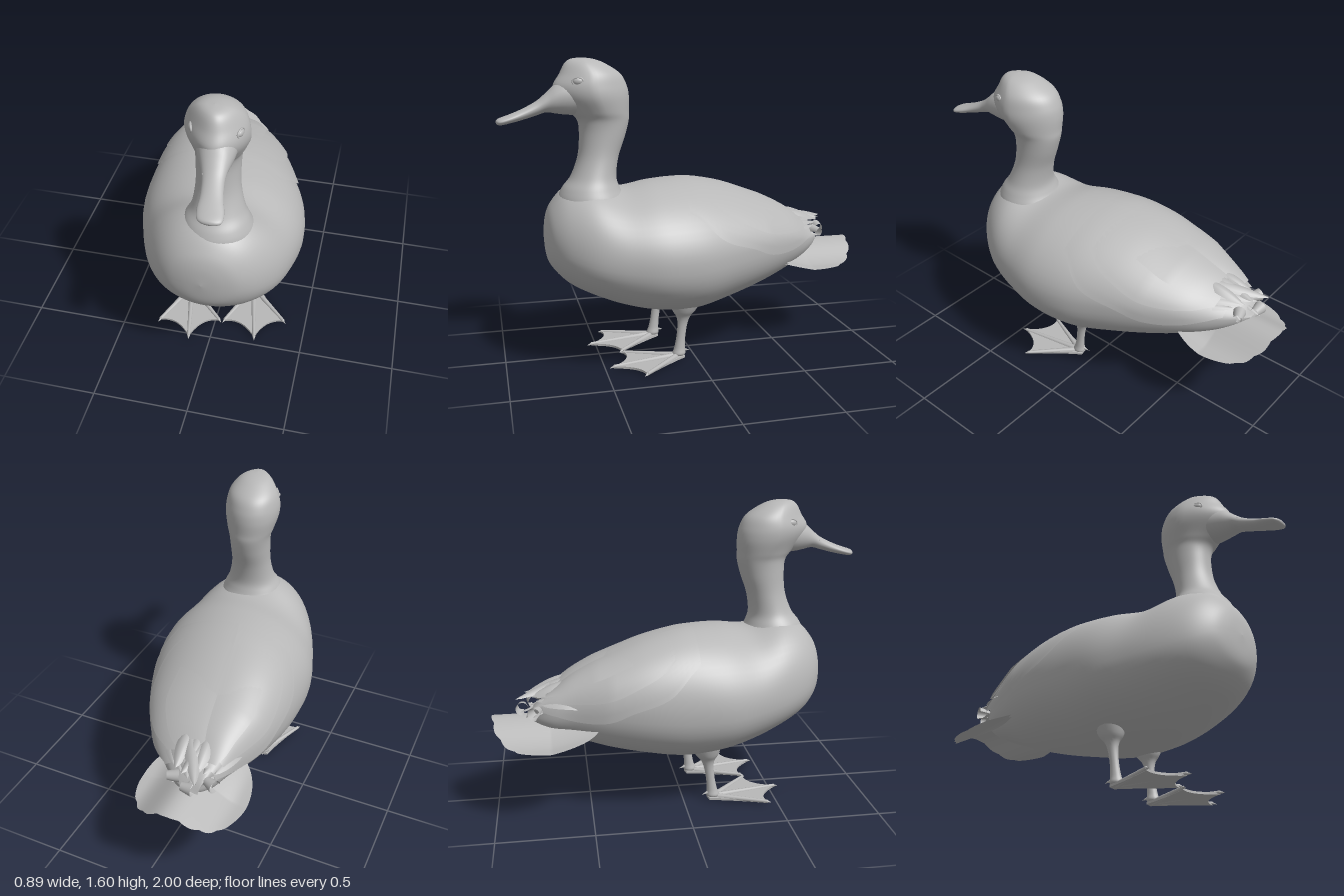
import * as THREE from 'three';

const grey = new THREE.MeshStandardMaterial({ color: 0xb8b8b8, side: THREE.DoubleSide });
grey.name = 'plain grey';

const { lerp, smoothstep } = THREE.MathUtils;
const V = (x, y, z) => new THREE.Vector3(x, y, z);

// Smooth sample of a list of rows at fractional index t
function sample(rows, t) {
  const n = rows.length - 1;
  const i = Math.min(Math.max(Math.floor(t), 0), n - 1), f = t - i;
  const [a, b, c, d] = [i - 1, i, i + 1, i + 2].map((k) => rows[Math.min(Math.max(k, 0), n)]);
  return b.map((p, k) => p + 0.5 * f * (c[k] - a[k] + f * (2 * a[k] - 5 * p + 4 * c[k] - d[k]
    + f * (3 * (p - c[k]) + d[k] - a[k]))));
}

// Grid surface from point(u, v); wrap joins v = 1 back to v = 0
function surface(point, nu, nv, wrap) {
  const pos = [], idx = [], cols = wrap ? nv : nv + 1;
  for (let i = 0; i <= nu; i++)
    for (let j = 0; j < cols; j++) pos.push(...point(i / nu, j / nv).toArray());
  for (let i = 0; i < nu; i++)
    for (let j = 0; j < nv; j++) {
      const k = (j + 1) % cols, a = i * cols, b = a + cols;
      idx.push(a + j, b + j, a + k, b + j, b + k, a + k);
    }
  const g = new THREE.BufferGeometry();
  g.setAttribute('position', new THREE.Float32BufferAttribute(pos, 3));
  g.setIndex(idx);
  g.computeVertexNormals();
  return g;
}

// Body rows: z, centre x, half width, bottom y, widest y, top y
const bodyRows = [
  [0.78, 0.03, 0, 0.69, 0.69, 0.69], [0.768, 0.03, 0.1, 0.58, 0.69, 0.79],
  [0.735, 0.03, 0.19, 0.515, 0.68, 0.865], [0.66, 0.03, 0.275, 0.44, 0.65, 0.94],
  [0.54, 0.03, 0.35, 0.375, 0.62, 0.97], [0.38, 0.02, 0.405, 0.31, 0.6, 0.93],
  [0.2, 0.005, 0.442, 0.265, 0.59, 0.95], [0, -0.015, 0.43, 0.25, 0.59, 0.95],
  [-0.2, -0.05, 0.38, 0.285, 0.6, 0.905], [-0.4, -0.08, 0.305, 0.335, 0.61, 0.825],
  [-0.58, -0.105, 0.215, 0.4, 0.6, 0.74], [-0.7, -0.14, 0.14, 0.45, 0.57, 0.66],
  [-0.78, -0.16, 0.07, 0.5, 0.56, 0.605], [-0.82, -0.165, 0, 0.55, 0.55, 0.55],
];
function bodyPoint(t, a, off = 0) {
  const [z, cx, hw, yb, ym, yt] = sample(bodyRows, t);
  const s = Math.sin(a), up = Math.max(s, 0);
  const lean = -0.07 * smoothstep(-z, -0.4, 0.1) * up * up;
  const rise = s > 0 ? (yt - ym + off) * s : -(ym - yb + off) * Math.pow(-s, 0.88);
  return V(cx + lean + (hw + off) * Math.cos(a), ym + rise, z);
}

// Neck and head rows: y, centre x, centre z, half width, half depth
const headRows = [
  [0.8, 0.045, 0.52, 0.2, 0.18], [0.88, 0.055, 0.53, 0.185, 0.175], [0.94, 0.058, 0.533, 0.16, 0.148],
  [1.0, 0.06, 0.518, 0.13, 0.118], [1.1, 0.055, 0.491, 0.11, 0.106], [1.2, 0.052, 0.468, 0.108, 0.118],
  [1.28, 0.052, 0.46, 0.114, 0.132], [1.33, 0.056, 0.478, 0.132, 0.152], [1.4, 0.06, 0.51, 0.152, 0.186],
  [1.46, 0.06, 0.525, 0.152, 0.19], [1.52, 0.06, 0.525, 0.134, 0.156], [1.57, 0.062, 0.55, 0.094, 0.104],
  [1.593, 0.062, 0.565, 0.052, 0.058], [1.6, 0.062, 0.57, 0, 0],
];
function headPoint(t, a) {
  const [y, cx, cz, hx, hz] = sample(headRows, t);
  const s = Math.sin(a), turn = 0.12 * smoothstep(y, 1.2, 1.4);
  const taper = 1 - 0.28 * Math.max(0, s) * smoothstep(y, 1.25, 1.4);
  return V(cx + hx * taper * Math.cos(a) + turn * hz * s, y, cz + hz * s);
}

// Bill rows: z, half width, bottom y, top y
const billRows = [
  [0.56, 0.105, 1.315, 1.52], [0.64, 0.092, 1.317, 1.505], [0.7, 0.076, 1.325, 1.475],
  [0.75, 0.06, 1.333, 1.43], [0.8, 0.051, 1.32, 1.39], [0.87, 0.052, 1.3, 1.354],
  [0.93, 0.06, 1.286, 1.33], [0.975, 0.056, 1.278, 1.315], [0.994, 0.034, 1.283, 1.306], [1, 0, 1.295, 1.295],
];
function billPoint(t, a) {
  const [z, hx, yb, yt] = sample(billRows, t);
  return V(0.055 + (z - 0.46) * 0.15 + hx * Math.cos(a), (yb + yt) / 2 + (yt - yb) / 2 * Math.sin(a), z);
}

// Leg rows: y, radius
const legRows = [[0.32, 0.075], [0.27, 0.055], [0.235, 0.033], [0.19, 0.023], [0.12, 0.021], [0.06, 0.025], [0.025, 0.03], [0.01, 0]];

export function createModel() {
  const model = new THREE.Group();
  const add = (name, geo, parent = model) => {
    const m = new THREE.Mesh(geo, grey);
    m.name = name;
    parent.add(m);
    return m;
  };
  const tube = (name, rows, point, nu, nv) =>
    add(name, surface((u, v) => point(u * (rows.length - 1), v * Math.PI * 2), nu, nv, true));

  tube('body', bodyRows, bodyPoint, 78, 56);
  tube('neckAndHead', headRows, headPoint, 78, 48);
  tube('bill', billRows, billPoint, 54, 32);

  // Eyes with a raised lid ring, and nostrils
  for (const s of [1, -1]) {
    const eye = new THREE.Group();
    eye.name = s > 0 ? 'leftEye' : 'rightEye';
    eye.position.set(0.071 + s * 0.112, 1.487, 0.6);
    eye.rotation.y = s * (Math.PI / 2 - 0.3);
    eye.rotation.z = s * 0.1;
    model.add(eye);
    add('eyeball', new THREE.SphereGeometry(0.024, 20, 14), eye).scale.set(1, 0.7, 0.5);
    add('eyelid', new THREE.TorusGeometry(0.027, 0.005, 8, 28), eye).scale.set(1, 0.7, 1);
    const nostril = add('nostril', new THREE.SphereGeometry(0.01, 12, 8));
    nostril.position.set(0.102 + s * 0.046, 1.378, 0.775);
    nostril.scale.set(0.5, 0.5, 1.2);
  }

  // Folded wings: overlapping feather layers standing a little off the back
  const layers = [
    { name: 'flightFeathers', t0: 6.7, t1: 11.4, off: 0.03, low: [[0.7], [0.28], [0.08], [-0.12], [-0.15], [0.0], [0.3]] },
    { name: 'wingCoverts', t0: 7.0, t1: 10.9, off: 0.037, low: [[1.0], [0.65], [0.45], [0.28], [0.25], [0.35], [0.6]] },
    { name: 'shoulderFeathers', t0: 7.5, t1: 11.2, off: 0.043, low: [[1.3], [0.98], [0.85], [0.75], [0.75], [0.8], [1.0]] },
  ];
  for (const s of [1, -1])
    for (const { name, t0, t1, off, low } of layers)
      add((s > 0 ? 'left ' : 'right ') + name, surface((u, v) => {
        const a = lerp(sample(low, u * (low.length - 1))[0], Math.PI / 2, v);
        const lift = off * Math.min(1, u * 2) * (1 - 0.5 * v);
        return bodyPoint(lerp(t0, t1, u), s > 0 ? a : Math.PI - a, lift);
      }, 32, 14));

  // Long narrow feathers reaching past the rump
  const feather = (name, from, to, width) => {
    const dir = to.clone().sub(from);
    const side = V(dir.z, 0, -dir.x).normalize();
    add(name, surface((u, v) => {
      const w = width * Math.pow(Math.sin(Math.PI * (0.12 + 0.88 * u)), 0.7);
      const c = (v - 0.5) * 2;
      return from.clone().addScaledVector(dir, u).addScaledVector(side, w * c)
        .add(V(0, 0.02 * Math.sin(Math.PI * u) - 0.6 * w * c * c, 0));
    }, 16, 6));
  };
  for (let i = 0; i < 4; i++) {
    feather('leftWingTip', V(0.09 - i * 0.04, 0.64 + i * 0.033, -0.46), V(-0.08 - i * 0.055, 0.635 + i * 0.008, -0.76 - i * 0.037), 0.045);
    feather('rightWingTip', V(-0.32 + i * 0.035, 0.63 + i * 0.035, -0.46), V(-0.29 + i * 0.045, 0.635 + i * 0.01, -0.74 - i * 0.03), 0.045);
  }
  for (const x of [-0.22, -0.17, -0.11])
    feather('rumpFeather', V(x + 0.03, 0.735, -0.56), V(x, 0.66, -0.8), 0.04);

  // Round tail fan: two drooping lobes, scalloped along the back edge
  for (const drop of [0, 0.012])
    add(drop ? 'underTailFan' : 'tailFan', surface((u, v) => {
      const a = v * Math.PI * 2, c = Math.cos(a), s = Math.sin(a);
      const notch = 0.035 * (1 - Math.abs(Math.sin(a * 9))) * smoothstep(-s, 0.3, 0.8);
      const r = u * (1 - drop * 2 - notch * u * u);
      const x = r * Math.sign(c) * Math.pow(Math.abs(c), 0.88), z = r * s;
      const droop = 0.105 * smoothstep(Math.abs(x), 0, 0.85) * (1 - 0.6 * Math.max(0, z));
      return V(-0.155 + 0.285 * x, 0.542 - drop - droop, -0.7 + 0.3 * z);
    }, 14, 180, true));

  // Curled feathers above the tail
  for (const [x, z, yaw] of [[-0.28, -0.77, -0.4], [-0.19, -0.84, 0], [-0.09, -0.79, 0.4]]) {
    const curl = add('curledFeather', new THREE.CylinderGeometry(0.034, 0.022, 0.06, 20, 1, true, 0, 5));
    curl.rotation.set(0, yaw, Math.PI / 2);
    curl.position.set(x, 0.595, z);
    feather('curlStem', V(x * 0.6 - 0.07, 0.6, -0.66), V(x, 0.565, z - 0.02), 0.018);
  }

  // Legs with webbed feet
  const toes = [[-0.165, 0.25], [0, 0.37], [0.165, 0.25]];
  const web = new THREE.Shape();
  web.moveTo(-0.022, -0.03);
  web.quadraticCurveTo(-0.075, 0.1, ...toes[0]);
  web.quadraticCurveTo(-0.065, 0.235, ...toes[1]);
  web.quadraticCurveTo(0.065, 0.235, ...toes[2]);
  web.quadraticCurveTo(0.075, 0.1, 0.022, -0.03);
  web.closePath();
  const webGeo = new THREE.ExtrudeGeometry(web, { depth: 0.012, bevelEnabled: false, curveSegments: 10 });
  webGeo.rotateX(Math.PI / 2).translate(0, 0.018, 0);
  for (const [name, x, zTop, zFoot] of [['right', -0.19, 0.13, 0.165], ['left', 0.165, 0.065, 0.095]]) {
    tube(name + 'Leg', legRows, (t, a) => {
      const [y, r] = sample(legRows, t);
      return V(x + r * Math.cos(a), y, lerp(zFoot, zTop, y / 0.25) + r * 1.15 * Math.sin(a));
    }, 30, 20);
    const foot = new THREE.Group();
    foot.name = name + 'Foot';
    foot.position.set(x, 0, zFoot);
    foot.rotation.y = 0.2;
    model.add(foot);
    add('web', webGeo, foot);
    for (const [tx, tz] of toes) {
      const len = Math.hypot(tx, tz);
      const toe = new THREE.CylinderGeometry(0.009, 0.017, len, 10, 6);
      toe.rotateX(Math.PI / 2).translate(0, 0, len / 2).rotateY(Math.atan2(tx, tz));
      add('toe', toe.translate(0, 0.017, 0), foot);
      const claw = new THREE.ConeGeometry(0.009, 0.03, 8);
      claw.rotateX(Math.PI / 2 + 0.2).translate(0, 0.014, len + 0.01).rotateY(Math.atan2(tx, tz));
      add('claw', claw, foot);
    }
    const spur = new THREE.ConeGeometry(0.014, 0.06, 10);
    add('hindToe', spur.rotateX(-Math.PI / 2 - 0.25).translate(0, 0.042, -0.04), foot);
  }
  return model;
}
